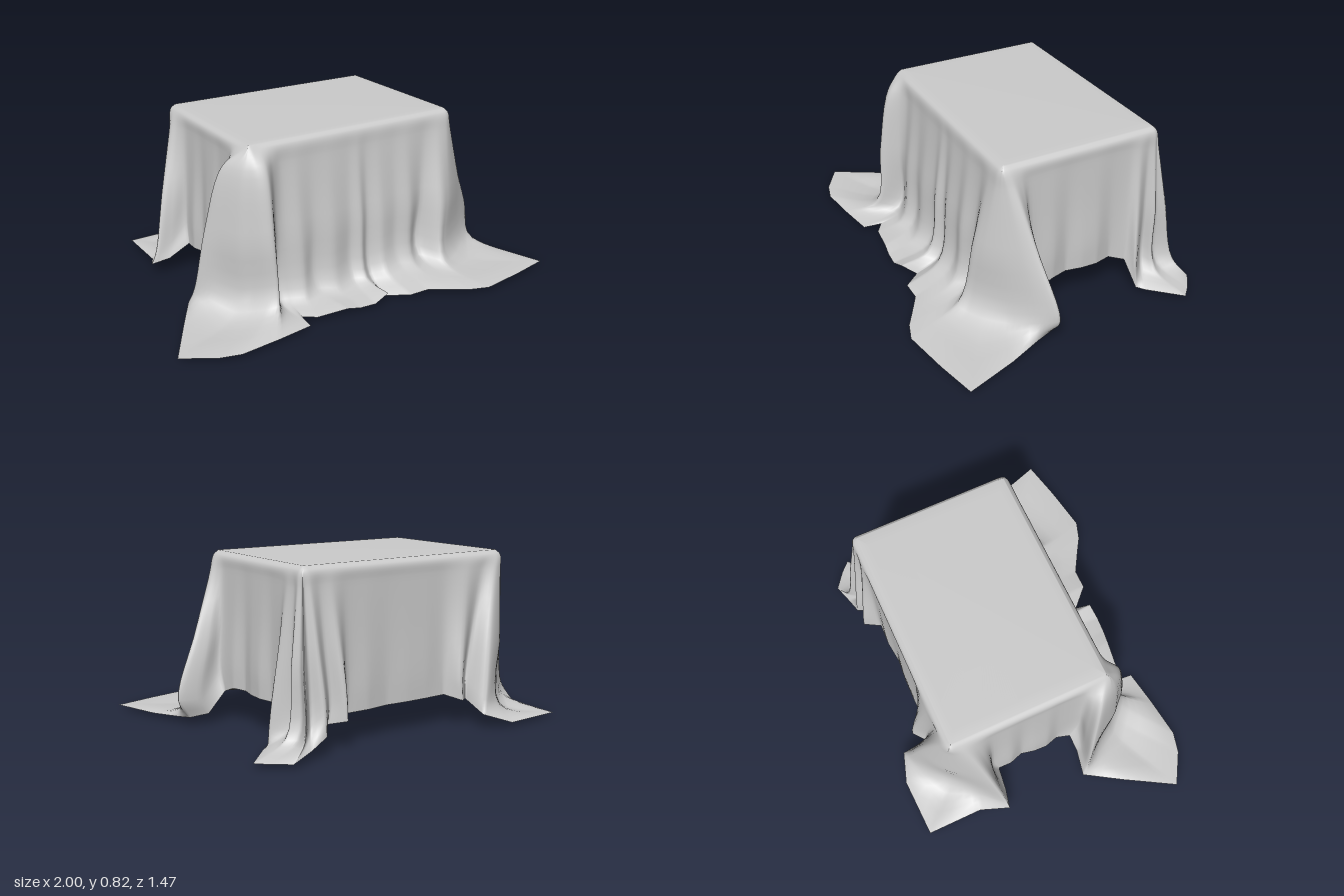
import * as THREE from 'three';

// Flat area of the cloth: a rectangle resting on a hidden box
const X0 = -0.525, X1 = 0.63, Z0 = -0.515, Z1 = 0.305, TOP = 0.82, ROUND = 0.03;
const CENTRE = new THREE.Vector3((X0 + X1) / 2, TOP, (Z0 + Z1) / 2);
const ROWS = 26, STEPS = 5;
const clamp = THREE.MathUtils.clamp;

// How far the cloth has spread towards its foot at the shoulder and midway down
const STEEP = [0.1, 0.5], EVEN = [0.12, 0.55], BOWED = [0.18, 0.62], FULL = [0.4, 0.75];

// Each row of a fold table: foot x, y, z of the hanging part, then hem x, y, z
const frontFolds = [
  [-0.36, 0.07, 0.38, -0.36, 0.02, 0.50],
  [-0.28, 0.07, 0.41, -0.30, 0.02, 0.54],
  [-0.20, 0.08, 0.38, -0.15, 0.03, 0.56],
  [-0.10, 0.07, 0.41, -0.08, 0.02, 0.57],
  [0.00, 0.08, 0.38, 0.00, 0.02, 0.575],
  [0.06, 0.08, 0.41, 0.08, 0.05, 0.565],
  [0.11, 0.07, 0.37, 0.11, 0.00, 0.50],
  [0.18, 0.09, 0.41, 0.20, 0.02, 0.59],
  [0.27, 0.10, 0.39, 0.30, 0.02, 0.59],
];
const frontLeftCorner = [
  [0.35, 0.09, 0.41, 0.40, 0.02, 0.65],
  [0.42, 0.10, 0.36, 0.48, 0.02, 0.70],
  [0.50, 0.08, 0.46, 0.57, 0.02, 0.73],
  [0.56, 0.07, 0.44, 0.80, 0.02, 0.69],
  [0.63, 0.07, 0.40, 1.00, 0.02, 0.645],
  [0.74, 0.08, 0.32, 0.92, 0.02, 0.40],
  [0.85, 0.12, 0.22, 0.86, 0.03, 0.24],
  [0.90, 0.14, 0.15, 0.84, 0.04, 0.16],
  [0.79, 0.14, 0.14, 0.75, 0.05, 0.14],
  [0.67, 0.26, 0.17, 0.665, 0.15, 0.13],
];
const backLeftCorner = [
  [0.66, 0.25, -0.36, 0.66, 0.15, -0.35],
  [0.72, 0.12, -0.38, 0.73, 0.02, -0.38],
  [0.66, 0.10, -0.45, 0.77, 0.02, -0.41],
  [0.71, 0.08, -0.50, 0.90, 0.02, -0.55],
  [0.67, 0.08, -0.54, 0.85, 0.02, -0.60],
  [0.69, 0.09, -0.62, 0.77, 0.02, -0.66],
  [0.62, 0.14, -0.56, 0.66, 0.05, -0.63],
  [0.57, 0.20, -0.60, 0.57, 0.09, -0.61],
  [0.51, 0.22, -0.54, 0.52, 0.12, -0.54],
  [0.46, 0.24, -0.60, 0.46, 0.14, -0.61],
  [0.41, 0.26, -0.53, 0.41, 0.15, -0.53],
];
const backRightCorner = [
  [-0.15, 0.26, -0.53, -0.15, 0.15, -0.53],
  [-0.20, 0.23, -0.60, -0.20, 0.13, -0.61],
  [-0.27, 0.22, -0.55, -0.26, 0.12, -0.56],
  [-0.29, 0.14, -0.67, -0.26, 0.07, -0.69],
  [-0.40, 0.11, -0.63, -0.40, 0.02, -0.74],
  [-0.50, 0.06, -0.55, -0.69, 0.02, -0.73],
  [-0.60, 0.10, -0.44, -0.69, 0.02, -0.45],
  [-0.72, 0.12, -0.32, -0.75, 0.06, -0.31],
  [-0.64, 0.16, -0.31, -0.66, 0.08, -0.29],
  [-0.55, 0.25, -0.31, -0.555, 0.14, -0.28],
];
const frontRightCorner = [
  [-0.55, 0.25, 0.16, -0.555, 0.14, 0.12],
  [-0.64, 0.14, 0.15, -0.63, 0.07, 0.13],
  [-0.73, 0.11, 0.14, -0.75, 0.03, 0.11],
  [-0.68, 0.08, 0.24, -0.86, 0.02, 0.29],
  [-0.62, 0.06, 0.34, -1.00, 0.02, 0.53],
  [-0.57, 0.07, 0.39, -0.85, 0.02, 0.62],
  [-0.51, 0.09, 0.45, -0.75, 0.02, 0.645],
  [-0.46, 0.10, 0.47, -0.55, 0.02, 0.62],
  [-0.41, 0.07, 0.37, -0.37, 0.02, 0.59],
];

// Nearest point on the rim of the flat area
function rimPoint(x, z) {
  return new THREE.Vector3(clamp(x, X0, X1), 0, clamp(z, Z0, Z1));
}

// One strip of cloth from the centre of the top, over the rim, down to the hem
function strip(rim, [fx, fy, fz, hx, hy, hz], [shoulder, middle]) {
  const inset = new THREE.Vector3(
    clamp(rim.x, X0 + ROUND, X1 - ROUND), 0, clamp(rim.z, Z0 + ROUND, Z1 - ROUND));
  const outward = rim.clone().sub(inset).setLength(ROUND);
  const inner = inset.clone().addScaledVector(outward, 0.2).setY(TOP - 0.004);
  const edge = inset.clone().add(outward).setY(TOP - 0.028);
  const foot = new THREE.Vector3(fx, fy, fz);
  const between = (spread, drop) => edge.clone().lerp(foot, spread)
    .setY(THREE.MathUtils.lerp(edge.y, fy, drop));
  const hang = new THREE.CatmullRomCurve3([
    inner, edge, between(shoulder, 0.12), between(middle, 0.55), foot,
    new THREE.Vector3(hx, hy, hz)]);
  const points = [CENTRE.clone(), CENTRE.clone().lerp(inner, 0.5), CENTRE.clone().lerp(inner, 0.9)];
  for (let i = 0; i <= ROWS; i++) points.push(hang.getPoint(i / ROWS));
  return points;
}

// Folds of a plain side start straight above their foot
const sideStrips = (rows) => rows.map((r) => strip(rimPoint(r[0], r[2]), r, STEEP));

// Folds of a corner gather towards the corner of the top
function cornerStrips(rows, x, z, spread) {
  const corner = new THREE.Vector3(x, 0, z);
  const last = rows.length - 1;
  return rows.map((r, i) => {
    const v = (2 * i) / last - 1;
    const end = rows[v < 0 ? 0 : last];
    return strip(corner.clone().lerp(rimPoint(end[0], end[2]), v ** 2), r, spread);
  });
}

// Short panels hanging clear of the floor with shallow ripples
function panel(count, from, to, hem, place) {
  const rows = [];
  for (let i = 1; i <= count; i++) {
    const out = 0.022 + 0.012 * Math.sin(i * 2.2);
    const [x, z] = place(from + ((to - from) * i) / (count + 1), out);
    rows.push([x, hem + 0.12, z, x, hem, z]);
  }
  return sideStrips(rows);
}

function clothGeometry() {
  // Strips run all the way round, starting at the front
  const strips = [
    ...sideStrips(frontFolds),
    ...cornerStrips(frontLeftCorner, X1, Z1, EVEN),
    ...panel(5, 0.13, -0.35, 0.18, (z, out) => [X1 + out, z]),
    ...cornerStrips(backLeftCorner, X1, Z0, EVEN),
    ...panel(4, 0.41, -0.15, 0.15, (x, out) => [x, Z0 - out * 0.6]),
    ...cornerStrips(backRightCorner, X0, Z0, BOWED),
    ...panel(5, -0.28, 0.12, 0.14, (z, out) => [X0 - out, z]),
    ...cornerStrips(frontRightCorner, X0, Z1, FULL),
  ];
  const around = strips.length * STEPS;
  const rows = strips[0].length;
  const positions = [], index = [];
  for (let i = 0; i < rows; i++) {
    // Soft folds above, turning into the straight cut edges of the hem
    const tension = 0.42 * Math.min(1, (rows - 1 - i) / 7);
    const ring = new THREE.CatmullRomCurve3(strips.map((s) => s[i]), true, 'catmullrom', tension);
    for (let j = 0; j < around; j++) {
      const p = ring.getPoint(j / around);
      positions.push(p.x, Math.max(p.y, 0), p.z);
    }
  }
  for (let i = 0; i < rows - 1; i++) {
    for (let j = 0; j < around; j++) {
      const a = i * around + j, b = i * around + ((j + 1) % around);
      const c = a + around, d = b + around;
      if (i > 0) index.push(a, c, b);
      index.push(b, c, d);
    }
  }
  const geometry = new THREE.BufferGeometry();
  geometry.setAttribute('position', new THREE.Float32BufferAttribute(positions, 3));
  geometry.setIndex(index);
  geometry.computeVertexNormals();
  return geometry;
}

export function createModel() {
  const group = new THREE.Group();
  group.name = 'drapedCloth';
  const material = new THREE.MeshStandardMaterial({ color: 0xcccccc, side: THREE.DoubleSide });
  const cloth = new THREE.Mesh(clothGeometry(), material);
  cloth.name = 'cloth';
  group.add(cloth);
  return group;
}
